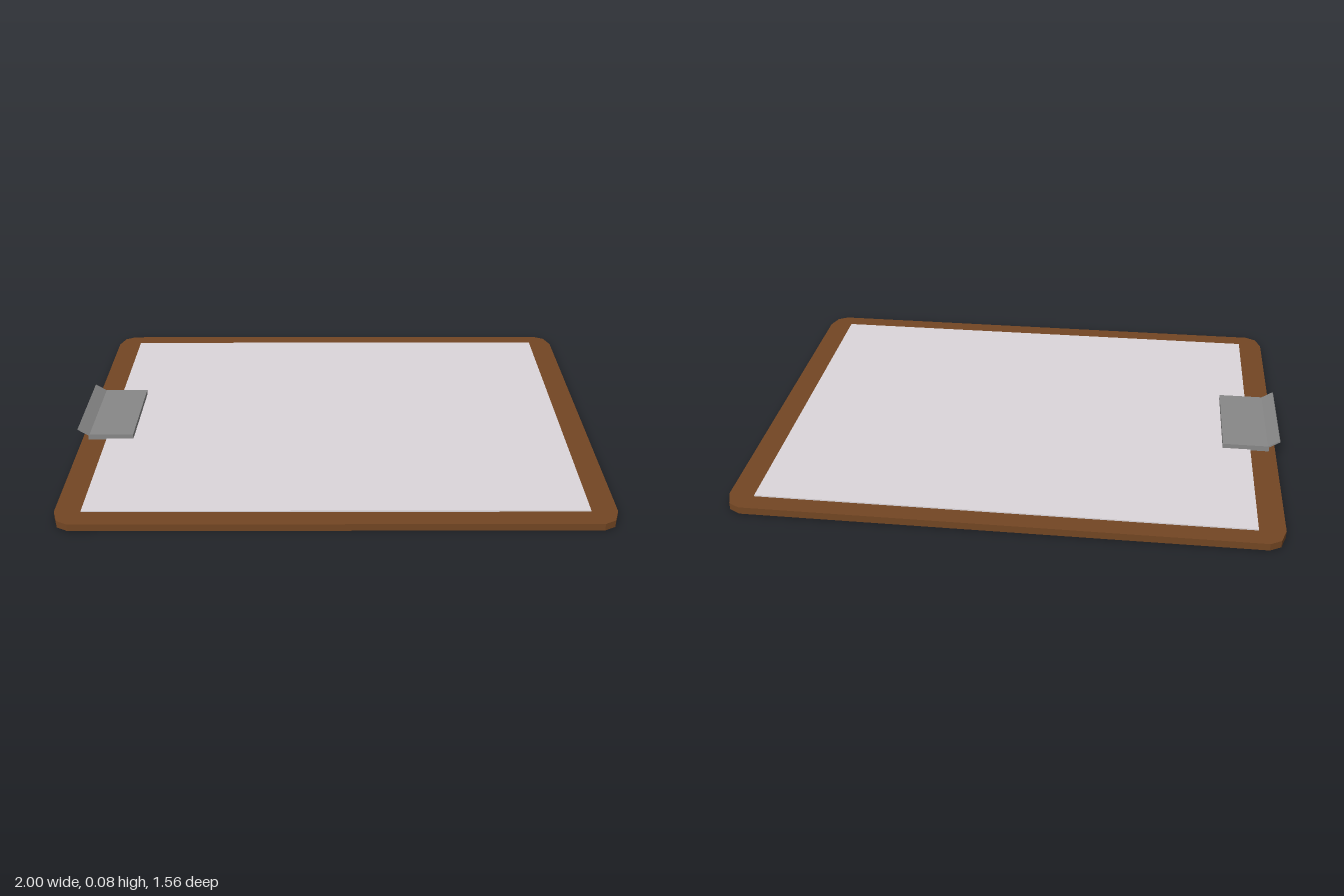
import * as THREE from 'three';

const material = (color) =>
  new THREE.MeshStandardMaterial({ color, flatShading: true, side: THREE.DoubleSide });

// Extrudes a 2D outline without bevel
function extrude(points, depth) {
  const shape = new THREE.Shape(points.map(([x, y]) => new THREE.Vector2(x, y)));
  return new THREE.ExtrudeGeometry(shape, { depth, bevelEnabled: false });
}

export function createModel() {
  const group = new THREE.Group();
  const add = (name, geometry, color) => {
    const mesh = new THREE.Mesh(geometry, material(color));
    mesh.name = name;
    group.add(mesh);
    return mesh;
  };

  // Wooden board: rectangle with faceted corners, walked counterclockwise
  const hx = 0.99, hz = 0.778;
  const corner = [[0, 0.08], [0.02, 0.022], [0.06, 0]];
  const outline = [];
  for (const [sx, sz] of [[1, 1], [-1, 1], [-1, -1], [1, -1]]) {
    const cuts = sx * sz > 0 ? corner : [...corner].reverse();
    for (const [dx, dz] of cuts) outline.push([sx * (hx - dx), sz * (hz - dz)]);
  }
  const boardGeometry = extrude(outline, 0.027);
  boardGeometry.rotateX(-Math.PI / 2);
  add('board', boardGeometry, 0x734623).position.x = 0.005;

  // Sheet of paper lying on the board
  const paper = add('paper', new THREE.BoxGeometry(1.79, 0.006, 1.406), 0xdcd6da);
  paper.position.set(0.005, 0.029, -0.002);

  // Metal clip: flat clamp plate
  const clip = add('clipPlate', new THREE.BoxGeometry(0.175, 0.022, 0.38), 0x888888);
  clip.position.set(-0.8725, 0.039, -0.001);

  // Thin lever rising outward from the plate
  const lever = add('clipLever', extrude([
    [-0.955, 0.043], [-0.955, 0.05], [-0.997, 0.077], [-1, 0.072],
  ], 0.38), 0x888888);
  lever.position.z = -0.191;

  return group;
}
